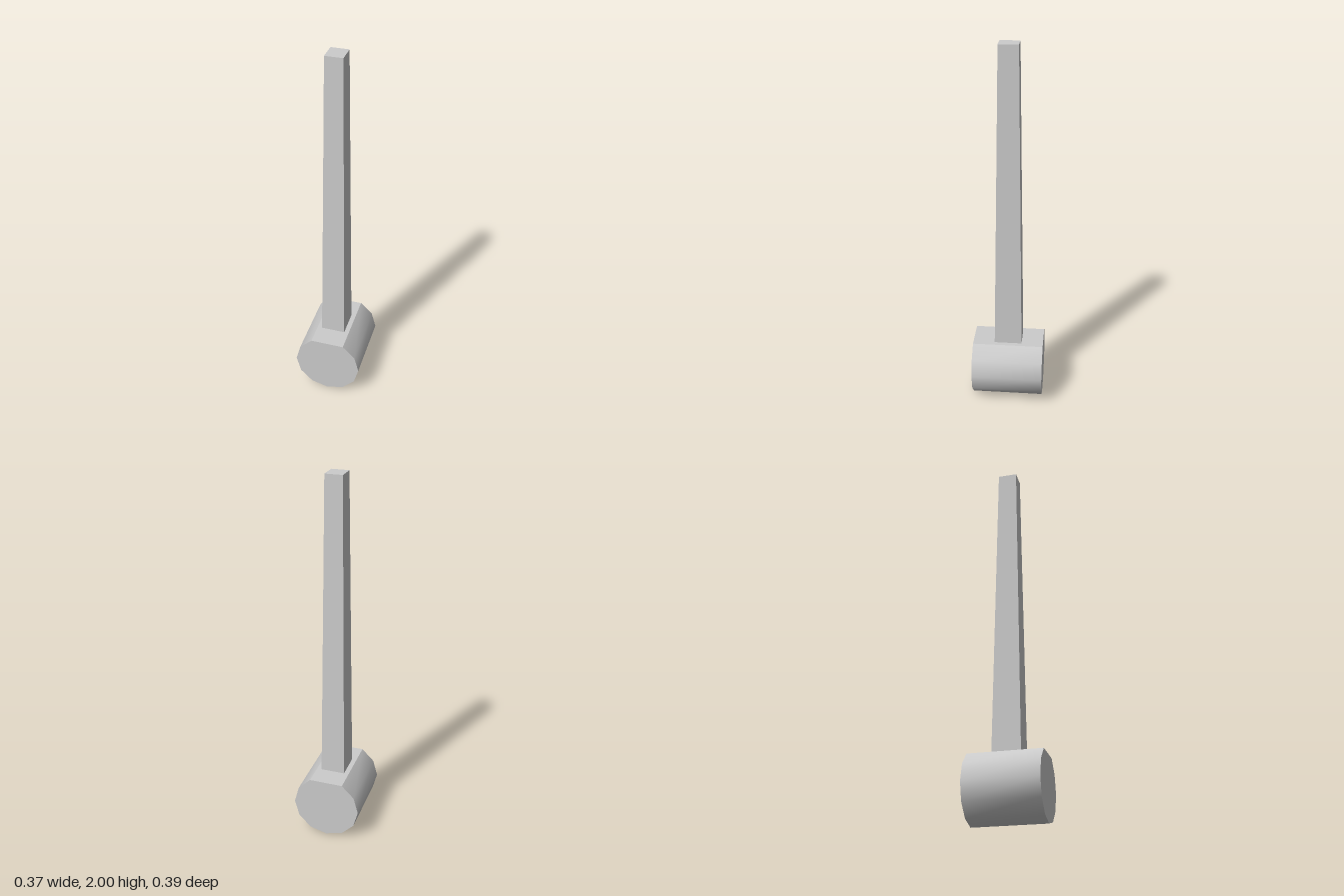
import * as THREE from 'three';
import { toCreasedNormals } from 'three/addons/utils/BufferGeometryUtils.js';

const RADIUS = 0.184;
const LENGTH = 0.388;
const FLAT_Y = RADIUS * (1 + Math.cos(Math.PI / 6)); // height of the flat on the head

export function createModel() {
  const group = new THREE.Group();
  group.name = 'mallet';
  const material = new THREE.MeshStandardMaterial({ color: 0xcccccc });

  // Head: twelve-sided barrel without its top corner, leaving a flat seat for the handle
  const points = [];
  for (let i = 1; i < 12; i++) {
    const a = Math.PI / 2 + (i * Math.PI) / 6;
    points.push(new THREE.Vector2(RADIUS * Math.cos(a), RADIUS + RADIUS * Math.sin(a)));
  }
  const barrel = new THREE.ExtrudeGeometry(new THREE.Shape(points), { depth: LENGTH, bevelEnabled: false });
  barrel.translate(0, 0, -LENGTH / 2);
  const head = new THREE.Mesh(toCreasedNormals(barrel, 0.65), material);
  head.name = 'head';
  group.add(head);

  // Handle: rectangular shaft tapering towards the free end
  const height = 2 - FLAT_Y;
  const shaft = new THREE.BoxGeometry(0.132, height, 0.15).toNonIndexed();
  const pos = shaft.attributes.position;
  for (let i = 0; i < pos.count; i++) {
    if (pos.getY(i) > 0) {
      pos.setX(i, Math.sign(pos.getX(i)) * 0.046);
      pos.setZ(i, Math.sign(pos.getZ(i)) * 0.051);
    }
  }
  shaft.computeVertexNormals();
  const handle = new THREE.Mesh(shaft, material);
  handle.position.y = FLAT_Y + height / 2;
  handle.name = 'handle';
  group.add(handle);

  return group;
}
